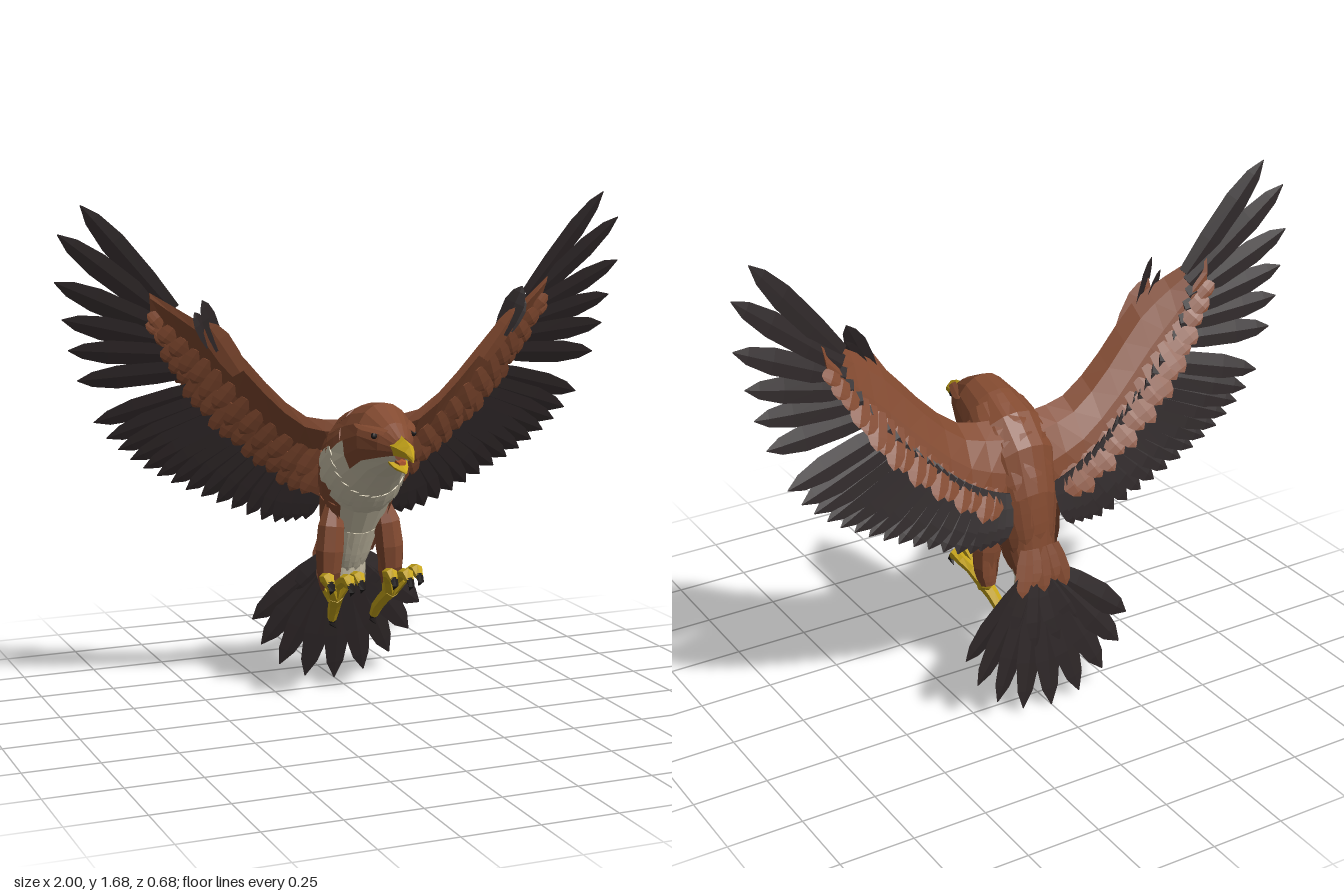
import * as THREE from 'three';
import { mergeGeometries } from 'three/addons/utils/BufferGeometryUtils.js';

const V = (x, y, z) => new THREE.Vector3(x, y, z);
const paint = (name, color) => {
  const m = new THREE.MeshStandardMaterial({ color });
  m.name = name;
  return m;
};

// Faceted triangles from a flat list of corner vectors
function facets(corners) {
  const g = new THREE.BufferGeometry().setFromPoints(corners);
  g.computeVertexNormals();
  return g;
}

// Closed loft through rings of equal length; pick(i, j) chooses a material index
function loft(rings, pick) {
  const sets = [[], []];
  const n = rings[0].length, last = rings.length - 1;
  const mid = r => r.reduce((s, p) => s.add(p), V(0, 0, 0)).divideScalar(n);
  const c0 = mid(rings[0]), c1 = mid(rings[last]);
  for (let j = 0; j < n; j++) {
    const k = (j + 1) % n;
    for (let i = 0; i < last; i++) {
      const a = rings[i][j], b = rings[i][k], c = rings[i + 1][k], d = rings[i + 1][j];
      sets[pick ? pick(i, j) : 0].push(a, b, c, a, c, d);
    }
    sets[0].push(c0, rings[0][k], rings[0][j], c1, rings[last][j], rings[last][k]);
  }
  const all = [...sets[0], ...sets[1]];
  let volume = 0;
  for (let i = 0; i < all.length; i += 3) volume += all[i].dot(V(0, 0, 0).crossVectors(all[i + 1], all[i + 2]));
  if (volume < 0) for (let i = 0; i < all.length; i += 3) [all[i + 1], all[i + 2]] = [all[i + 2], all[i + 1]];
  const g = facets(all);
  if (pick) {
    g.addGroup(0, sets[0].length, 0);
    g.addGroup(sets[0].length, sets[1].length, 1);
  }
  return g;
}

// Mirror across x = 0, keeping faces outward
function mirror(g) {
  const p = g.attributes.position, out = [];
  for (let i = 0; i < p.count; i += 3)
    for (const k of [0, 2, 1]) out.push(V(-p.getX(i + k), p.getY(i + k), p.getZ(i + k)));
  return facets(out);
}

// Thin ridged leaf from root to tip
function feather(root, tip, width, tilt = -0.3, normal = V(0, 0, 1)) {
  const dir = tip.clone().sub(root).normalize();
  const side = V(0, 0, 0).crossVectors(dir, normal).normalize();
  const up = V(0, 0, 0).crossVectors(side, dir).normalize();
  side.addScaledVector(up, tilt);
  const rings = [[0, 0.7], [0.3, 0.95], [0.65, 1], [0.87, 0.65], [1, 0.04]].map(([t, k]) => {
    const c = root.clone().lerp(tip, t);
    const w = width * k / 2, h = width * k * 0.07;
    return [[side, w], [up, h], [side, -w], [up, -h]].map(([d, s]) => c.clone().addScaledVector(d, s));
  });
  return loft(rings);
}

// Tapered tube through points
function limb(points, radii, sides = 6) {
  const rings = points.map((p, i) => {
    const t = points[Math.min(i + 1, points.length - 1)].clone().sub(points[Math.max(i - 1, 0)]).normalize();
    const u = V(0, 0, 0).crossVectors(t, V(1, 0, 0)).normalize();
    const v = V(0, 0, 0).crossVectors(t, u);
    return Array.from({ length: sides }, (_, j) => {
      const a = j / sides * Math.PI * 2;
      return p.clone().addScaledVector(u, Math.cos(a) * radii[i]).addScaledVector(v, Math.sin(a) * radii[i]);
    });
  });
  return loft(rings);
}

// Body stations: front z, front y, back z, back y, half width
const BODY = [
  [0.25, 0.875, 0.255, 0.95, 0.03], [0.2, 0.845, 0.2, 0.99, 0.064], [0.13, 0.8, 0.1, 1.04, 0.1],
  [0.08, 0.755, 0, 1.025, 0.116], [0.025, 0.705, -0.11, 0.985, 0.142], [-0.03, 0.65, -0.2, 0.9, 0.138],
  [-0.085, 0.57, -0.245, 0.75, 0.112], [-0.14, 0.47, -0.255, 0.62, 0.088], [-0.2, 0.39, -0.27, 0.46, 0.06]];
function bodyPoint(s, angle, grow = 1) {
  const i = Math.min(Math.floor(s), BODY.length - 2), f = s - i;
  const [fz, fy, bz, by, w] = BODY[i].map((v, k) => v + (BODY[i + 1][k] - v) * f);
  const c = Math.cos(angle) * grow / 2;
  return V(Math.sin(angle) * w * grow, (fy + by) / 2 + (by - fy) * c, (fz + bz) / 2 + (bz - fz) * c);
}
// Feather lying on the body
function bodyFeather(s0, s1, angle, width, grow = 1.05) {
  const a = bodyPoint(s0, angle, 1), b = bodyPoint(s1, angle, grow);
  return feather(a, b, width, 0.1, bodyPoint(s0, angle, 2).sub(a).normalize());
}

const curve = list => new THREE.CatmullRomCurve3(list.map(p => V(...p)));
const lead = curve([[0.06, 0.96, -0.08], [0.2, 0.98, -0.07], [0.34, 1.1, -0.065], [0.47, 1.245, -0.06], [0.58, 1.32, -0.08], [0.705, 1.4, -0.13]]);
const trail = curve([[0.08, 0.67, -0.205], [0.22, 0.75, -0.21], [0.365, 0.865, -0.21], [0.495, 0.99, -0.2], [0.59, 1.12, -0.19], [0.69, 1.28, -0.165]]);
const tips = curve([[0.92, 1.68, -0.14], [0.99, 1.59, -0.16], [1, 1.44, -0.175], [0.975, 1.32, -0.19], [0.955, 1.22, -0.2], [0.925, 1.12, -0.21],
  [0.87, 0.98, -0.225], [0.75, 0.85, -0.235], [0.6, 0.755, -0.24], [0.43, 0.67, -0.24], [0.26, 0.6, -0.24], [0.14, 0.6, -0.24]]);
const roots = curve([[0.63, 1.34, -0.135], [0.635, 1.31, -0.145], [0.63, 1.27, -0.155], [0.61, 1.23, -0.165], [0.585, 1.19, -0.175], [0.555, 1.14, -0.18],
  [0.5, 1.08, -0.185], [0.42, 0.99, -0.19], [0.34, 0.92, -0.195], [0.26, 0.85, -0.2], [0.17, 0.79, -0.2], [0.11, 0.76, -0.2]]);

export function createModel() {
  const brown = paint('brown plumage', 0x834a30), dark = paint('dark flight feathers', 0x2b2425);
  const cream = paint('cream breast', 0xd0c7ae), yellow = paint('yellow beak and feet', 0xc8a61a);
  const black = paint('black claws and eyes', 0x1d1919), red = paint('mouth lining', 0xb0552c);
  const model = new THREE.Group();
  model.name = 'eagle';
  const add = (name, geos, mat) => {
    const m = new THREE.Mesh(geos.length > 1 ? mergeGeometries(geos) : geos[0], mat);
    m.name = name;
    model.add(m);
  };
  const pair = (name, geos, mat) => {
    add('left' + name, geos, mat);
    add('right' + name, geos.map(mirror), mat);
  };
  const count = (n, f) => Array.from({ length: n }, (_, i) => f(i, i / (n - 1)));

  // Head and body, with cream throat, bib, belly strip and vent
  const N = 18, bib = [0.9, 1.1, 1.2, 1.75, 1.1, 0.55, 0.55, 1.4];
  const body = BODY.map((_, i) => count(N, j => bodyPoint(i, j / N * Math.PI * 2)));
  add('body', [loft(body, (i, j) => Math.abs((j + 0.5) / N * Math.PI * 2 - Math.PI) < bib[i] ? 1 : 0)], [brown, cream]);
  add('bibFeathers', count(13, (i, t) => bodyFeather(3.7, 4.65 + (i % 2) * 0.2, Math.PI + (t - 0.5) * 3.3, 0.06)), cream);
  add('bellyFeathers', count(5, (i, t) => bodyFeather(6, 7.3 + (i % 2) * 0.3, Math.PI + (t - 0.5) * 0.8, 0.04)), cream);
  add('undertailFeathers', count(12, (i, t) => {
    const a = (t - 0.5) * Math.PI, c = Math.cos(a), s = Math.sin(a);
    return feather(V(s * 0.062, 0.48, -0.23 + c * 0.07), V(s * 0.075, 0.365 + (i % 2) * 0.03, -0.245 + c * 0.06), 0.042, 0.1, V(s, 0, c));
  }), cream);
  add('backFeathers', [3.2, 4.6, 6].flatMap(s => count(5, (i, t) => bodyFeather(s, s + 1.2, (t - 0.5) * 2.4, 0.07, 1.04))), brown);
  pair('FlankFeathers', count(4, i => bodyFeather(5.2 + i * 0.4, 6.3 + i * 0.4, 2.2 - (i % 2) * 0.5, 0.06, 1.06)), brown);

  // Beak, mouth and eyes
  const beakRing = (z, low, high, w) => [V(0, high, z), V(w, (low + high) / 2, z), V(w * 0.8, low, z), V(-w * 0.8, low, z), V(-w, (low + high) / 2, z)];
  add('upperBeak', [loft([beakRing(0.235, 0.893, 0.958, 0.038), beakRing(0.275, 0.895, 0.95, 0.03), beakRing(0.315, 0.895, 0.932, 0.017), beakRing(0.344, 0.885, 0.9, 0.003)])], yellow);
  add('lowerBeak', [loft([beakRing(0.215, 0.858, 0.885, 0.034), beakRing(0.25, 0.846, 0.864, 0.024), beakRing(0.288, 0.84, 0.846, 0.004)])], yellow);
  add('tongue', [loft([beakRing(0.22, 0.87, 0.9, 0.024), beakRing(0.26, 0.862, 0.876, 0.012)])], red);
  const eye = new THREE.SphereGeometry(0.011, 8, 6).translate(0.068, 0.95, 0.187).toNonIndexed();
  eye.deleteAttribute('uv');
  pair('Eye', [eye], black);
  pair('Brow', [feather(V(0.045, 0.965, 0.228), V(0.098, 0.975, 0.09), 0.035, 0.1, V(0.6, 0.8, 0))], brown);

  // Wing arms, arched behind and hollow in front
  const arm = count(11, (i, t) => {
    const a = lead.getPoint(t), b = trail.getPoint(t), h = 0.055 - 0.04 * t;
    return [[0, 0], [0.15, -0.9], [0.5, -0.9], [1, -0.1], [1, 0.1], [0.5, 0], [0.15, 0.4]].map(([u, k]) => a.clone().lerp(b, u).add(V(0, 0, k * h)));
  });
  pair('WingArm', [loft(arm)], brown);

  // Primaries and secondaries
  const flight = u => [roots.getPoint(u / 11), tips.getPoint(u / 11)];
  pair('Primaries', count(7, i => feather(...flight(i), 0.078)), dark);
  pair('Secondaries', count(16, (i, t) => feather(...flight(6.4 + t * 4.6), 0.08)), dark);

  // Covert rows on both faces of the wing
  const covert = (t, u0, u1, z0, z1, w) => {
    const s = Math.min(1, t + 0.05);
    const p = lead.getPoint(t).lerp(trail.getPoint(t), u0).add(V(0, 0, z0));
    const q = trail.getPoint(s).sub(lead.getPoint(s)).multiplyScalar(u1).add(lead.getPoint(s)).add(V(0.01, 0, z1));
    return feather(p, q, w, -0.1);
  };
  pair('BackCoverts', count(17, (i, t) => covert(0.06 + t * 0.9, 0.6, 1.08 + (i % 2) * 0.07, -0.03 + t * 0.016, -0.018, 0.07)), brown);
  pair('FrontCoverts', count(17, (i, t) => covert(0.06 + t * 0.9, 0.62, 1.06 + (i % 3) * 0.05, 0.004, 0.018, 0.065)), brown);
  pair('InnerCoverts', count(13, (i, t) => covert(0.1 + t * 0.85, 0.4, 0.85 + (i % 2) * 0.06, 0.002, 0.02, 0.065)), brown);

  // Thumb feathers at the wrist
  pair('ThumbFeathers', [feather(V(0.495, 1.22, -0.06), V(0.562, 1.38, -0.035), 0.06, 0.6), feather(V(0.525, 1.23, -0.07), V(0.58, 1.34, -0.06), 0.05, 0.6)], dark);
  pair('ThumbCovert', [feather(V(0.43, 1.14, -0.06), V(0.548, 1.31, -0.04), 0.075)], brown);

  // Tail fan with short feathers over its root
  const fan = (n, reach, zTip, w) => count(n, (i, t) => {
    const a = (t - 0.5) * 2;
    const angle = a * 0.98;
    const r = reach * (1 - 0.18 * a * a);
    return feather(V(a * 0.045, 0.46, -0.262), V(Math.sin(angle) * r, 0.46 - Math.cos(angle) * r, zTip + 0.03 * a * a), w, 0.12);
  });
  add('tailFan', fan(9, 0.455, -0.338, 0.1), dark);
  add('tailCoverts', fan(6, 0.24, -0.31, 0.085), dark);
  add('rumpFeathers', count(5, (i, t) => feather(V((t - 0.5) * 0.1, 0.56, -0.255), V((t - 0.5) * 0.17, 0.41 + (i % 2) * 0.03, -0.288), 0.055)), brown);

  // Thighs
  pair('Thigh', [limb([V(0.085, 0.68, -0.12), V(0.1, 0.6, -0.105), V(0.108, 0.52, -0.1), V(0.112, 0.45, -0.1), V(0.11, 0.385, -0.112)], [0.025, 0.047, 0.05, 0.042, 0.026], 8),
    ...count(5, i => {
      const a = i / 5 * Math.PI * 2, d = V(Math.cos(a), 0, Math.sin(a));
      return feather(V(0.11, 0.5, -0.1).addScaledVector(d, 0.04), V(0.11, 0.395 + (i % 2) * 0.02, -0.11).addScaledVector(d, 0.03), 0.045, 0.1, d);
    })], brown);

  // Feet: three toes reaching forward, one hanging behind
  const foot = [limb([V(0.11, 0.42, -0.11), V(0.108, 0.385, -0.1), V(0.1, 0.365, -0.07)], [0.027, 0.026, 0.03])];
  const claws = [];
  for (const [x, z] of [[0.058, 0.055], [0.105, 0.08], [0.158, 0.035]]) {
    foot.push(limb([V(0.1, 0.365, -0.07), V((x + 0.1) / 2, 0.415, -0.035), V(x, 0.447, z - 0.055), V(x, 0.453, z - 0.02), V(x, 0.435, z)], [0.024, 0.02, 0.019, 0.021, 0.014]));
    claws.push(limb([V(x, 0.441, z - 0.003), V(x, 0.42, z + 0.013), V(x, 0.402, z - 0.004)], [0.014, 0.011, 0.001], 5));
  }
  foot.push(limb([V(0.1, 0.37, -0.065), V(0.088, 0.335, -0.105), V(0.08, 0.3, -0.14), V(0.076, 0.265, -0.162)], [0.026, 0.022, 0.02, 0.015]));
  claws.push(limb([V(0.076, 0.272, -0.16), V(0.074, 0.247, -0.168), V(0.072, 0.24, -0.132)], [0.014, 0.011, 0.001], 5));
  pair('Foot', foot, yellow);
  pair('Claws', claws, black);
  return model;
}
